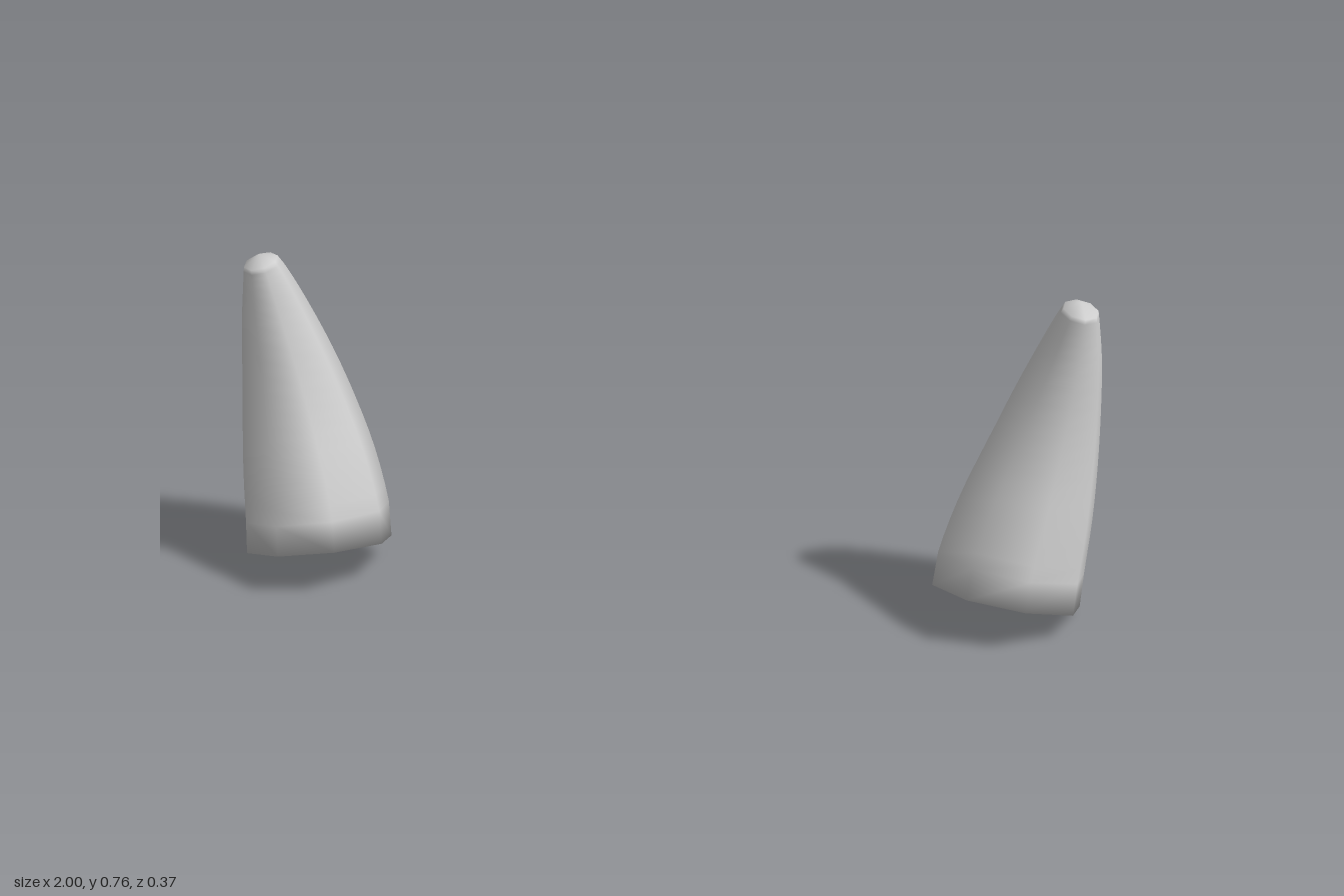
import * as THREE from 'three';

const SIDES = 8;
const START = THREE.MathUtils.degToRad(28);

// Cross-sections from base to tip: centre x, y, z, radius, slope of the section along x and z
const SECTIONS = [
  [0.815, 0.055, 0.020, 0.175, -0.14, 0.29],
  [0.822, 0.130, -0.001, 0.173, -0.15, 0.24],
  [0.846, 0.250, -0.033, 0.159, -0.17, 0.18],
  [0.872, 0.370, -0.056, 0.136, -0.18, 0.10],
  [0.897, 0.490, -0.067, 0.109, -0.19, 0.02],
  [0.921, 0.610, -0.065, 0.079, -0.19, -0.07],
  [0.936, 0.700, -0.055, 0.053, -0.19, -0.15],
  [0.943, 0.738, -0.048, 0.040, -0.18, -0.20],
];
const TIP = [0.943, 0.758, -0.045];

// Horn lofted through the sections; side = 1 for left, -1 for its mirror image
function hornGeometry(side) {
  const centres = new THREE.CatmullRomCurve3(
    SECTIONS.map(s => new THREE.Vector3(s[0], s[1], s[2])), false, 'catmullrom');
  const shapes = new THREE.CatmullRomCurve3(
    SECTIONS.map(s => new THREE.Vector3(s[3], s[4], s[5])), false, 'catmullrom');

  // One short ring above the base, then finer steps along the curve
  const steps = [0];
  for (let i = 0; i <= 18; i++) steps.push((1 + i / 3) / 7);

  const positions = [];
  const add = (x, y, z) => positions.push(side * x, y, z);
  for (const t of steps) {
    const c = centres.getPoint(t);
    const s = shapes.getPoint(t);
    for (let i = 0; i < SIDES; i++) {
      const a = START + (i / SIDES) * Math.PI * 2;
      const dx = s.x * Math.cos(a);
      const dz = s.x * Math.sin(a);
      add(c.x + dx, c.y + s.y * dx + s.z * dz, c.z + dz);
    }
  }
  const baseCentre = steps.length * SIDES;
  const tip = baseCentre + 1;
  add(...SECTIONS[0].slice(0, 3));
  add(...TIP);

  const index = [];
  const tri = (a, b, c) => (side > 0 ? index.push(a, b, c) : index.push(a, c, b));
  const last = (steps.length - 1) * SIDES;
  for (let i = 0; i < SIDES; i++) {
    const j = (i + 1) % SIDES;
    for (let k = 0; k < last; k += SIDES) {
      tri(k + i, k + SIDES + i, k + j);
      tri(k + j, k + SIDES + i, k + SIDES + j);
    }
    tri(baseCentre, i, j);
    tri(tip, last + j, last + i);
  }

  const geometry = new THREE.BufferGeometry();
  geometry.setAttribute('position', new THREE.Float32BufferAttribute(positions, 3));
  geometry.setIndex(index);
  geometry.computeVertexNormals();
  return geometry;
}

export function createModel() {
  const group = new THREE.Group();
  group.name = 'hornPair';
  const hornGrey = new THREE.MeshStandardMaterial({ color: 0xcccccc });
  hornGrey.name = 'hornGrey';

  for (const [name, side] of [['leftHorn', 1], ['rightHorn', -1]]) {
    const horn = new THREE.Mesh(hornGeometry(side), hornGrey);
    horn.name = name;
    group.add(horn);
  }
  return group;
}
